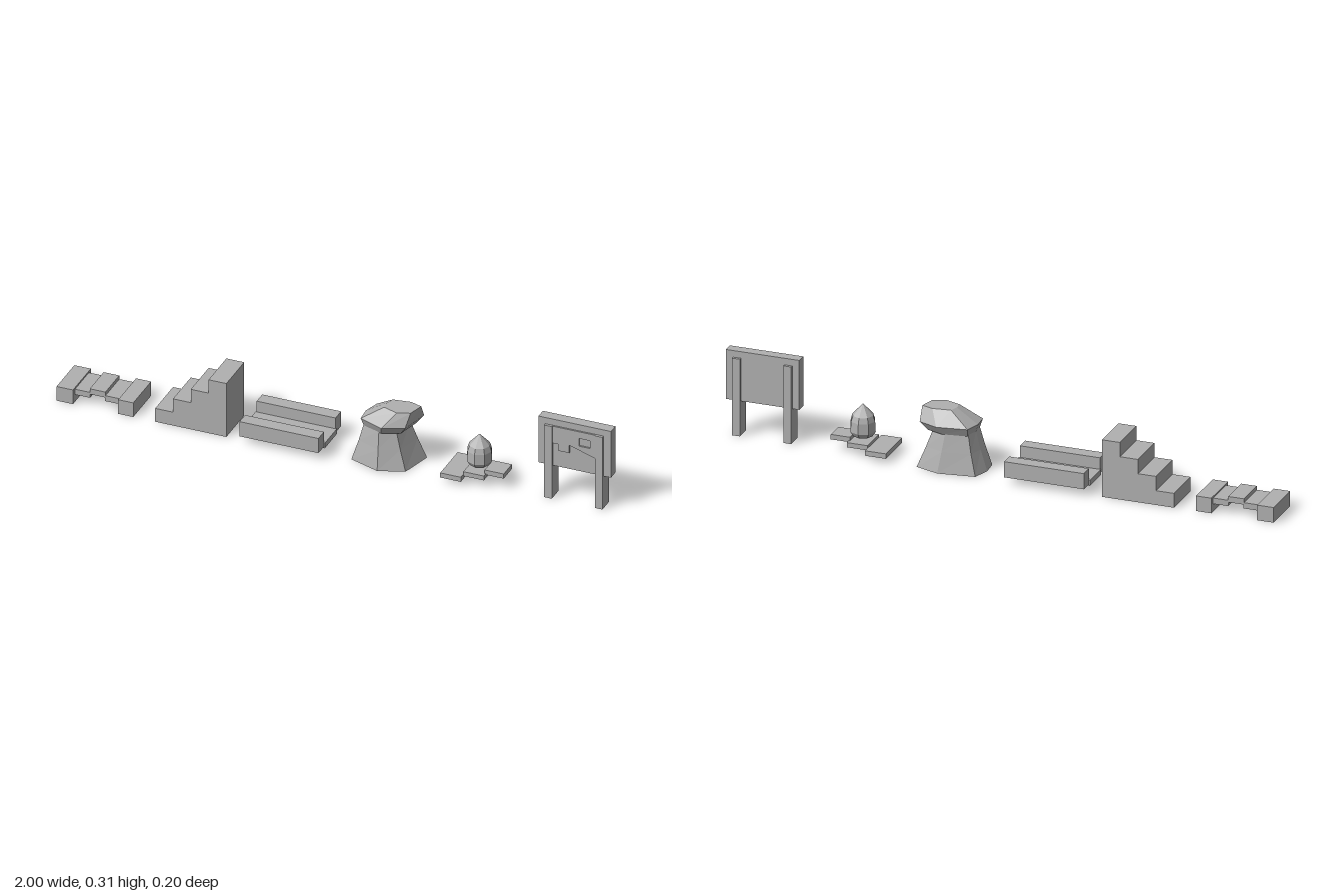
import * as THREE from 'three';

const grey = new THREE.MeshStandardMaterial({ color: 0xb0b0b0, flatShading: true });
grey.name = 'stone grey';

function addMesh(parent, name, geometry) {
  const mesh = new THREE.Mesh(geometry, grey);
  mesh.name = name;
  parent.add(mesh);
  return mesh;
}

// Box given by its limits on each axis
function addBox(parent, name, x0, x1, y0, y1, z0, z1) {
  const mesh = addMesh(parent, name, new THREE.BoxGeometry(x1 - x0, y1 - y0, z1 - z0));
  mesh.position.set((x0 + x1) / 2, (y0 + y1) / 2, (z0 + z1) / 2);
}

function addGroup(parent, name) {
  const group = new THREE.Group();
  group.name = name;
  parent.add(group);
  return group;
}

// Closed solid through rings of [x, y, z] corners, bottom to top
function loft(rings) {
  const n = rings[0].length;
  const positions = [];
  const tri = (a, b, c) => positions.push(...a, ...b, ...c);
  const middle = (ring) => [0, 1, 2].map((k) => ring.reduce((s, p) => s + p[k], 0) / n);
  const last = rings[rings.length - 1];
  for (let i = 0; i < n; i++) {
    const j = (i + 1) % n;
    for (let r = 0; r + 1 < rings.length; r++) {
      const lo = rings[r], hi = rings[r + 1];
      tri(lo[i], hi[i], lo[j]);
      tri(lo[j], hi[i], hi[j]);
    }
    tri(middle(rings[0]), rings[0][i], rings[0][j]);
    tri(middle(last), last[j], last[i]);
  }
  const geometry = new THREE.BufferGeometry();
  geometry.setAttribute('position', new THREE.Float32BufferAttribute(positions, 3));
  geometry.computeVertexNormals();
  return geometry;
}

function addBridge(parent) {
  const bridge = addGroup(parent, 'bridge');
  addBox(bridge, 'leftEndBlock', -1, -0.94, 0, 0.055, -0.077, 0.077);
  addBox(bridge, 'rightEndBlock', -0.775, -0.72, 0, 0.055, -0.077, 0.077);
  [0.028, 0.042, 0.028].forEach((y, i) => {
    const x = -0.942 + i * 0.056;
    addBox(bridge, 'plank', x, x + 0.057, y, y + 0.021, -0.06, 0.06);
  });
}

function addStairs(parent) {
  const shape = new THREE.Shape();
  shape.moveTo(-0.38, 0);
  for (let i = 4; i > 0; i--) {
    shape.lineTo(-0.64 + i * 0.065, i * 0.052);
    shape.lineTo(-0.64 + (i - 1) * 0.065, i * 0.052);
  }
  shape.lineTo(-0.64, 0);
  const geometry = new THREE.ExtrudeGeometry(shape, { depth: 0.154, bevelEnabled: false });
  addMesh(parent, 'stairs', geometry.translate(0, 0, -0.077));
}

function addTrough(parent) {
  const trough = addGroup(parent, 'trough');
  addBox(trough, 'floor', -0.327, -0.031, 0.022, 0.042, -0.052, 0.052);
  for (const z of [-0.074, 0.074]) {
    addBox(trough, 'wall', -0.323, -0.035, 0.027, 0.084, z - 0.024, z + 0.024);
  }
}

function addRock(parent) {
  const rock = addGroup(parent, 'mushroomRock');
  // Seven-sided outline around the rock's middle
  const outline = [
    [0.117, -0.06], [0.087, 0.055], [-0.003, 0.088], [-0.113, 0.05],
    [-0.118, -0.01], [-0.098, -0.07], [0.032, -0.089],
  ];
  const ring = (y, cx, sx, sz) => outline.map(([x, z]) => [cx + x * sx, y, z * sz]);
  addMesh(rock, 'stem', loft([
    ring(0, 0.178, 1, 1), ring(0.075, 0.175, 0.77, 0.84), ring(0.14, 0.172, 0.6, 0.7),
  ]));
  addMesh(rock, 'cap', loft([
    ring(0.135, 0.182, 0.68, 0.74), ring(0.165, 0.19, 0.82, 0.93), ring(0.214, 0.229, 0.49, 0.49),
  ]));
}

function addBud(parent) {
  const bud = addGroup(parent, 'budOnSteps');
  addBox(bud, 'lowStep', 0.4, 0.475, 0.019, 0.037, -0.075, 0.075);
  addBox(bud, 'middleStep', 0.475, 0.55, 0.03, 0.047, -0.053, 0.053);
  addBox(bud, 'highStep', 0.545, 0.615, 0.042, 0.06, -0.035, 0.035);
  const profile = [[0, 0.05], [0.034, 0.06], [0.046, 0.078], [0.044, 0.115], [0.037, 0.135], [0, 0.175]];
  const points = profile.map(([r, y]) => new THREE.Vector2(r, y));
  addMesh(bud, 'bud', new THREE.LatheGeometry(points, 8)).position.x = 0.512;
}

function addSign(parent) {
  const sign = addGroup(parent, 'signBoard');
  addBox(sign, 'board', 0.735, 1, 0.125, 0.305, -0.019, 0.019);
  for (const x of [0.774, 0.959]) {
    addBox(sign, 'post', x - 0.014, x + 0.014, 0, 0.281, -0.029, 0.029);
  }
  // Raised plate with a stepped lower edge and a square opening
  const plate = new THREE.Shape([
    [0.785, 0.215], [0.81, 0.215], [0.81, 0.19], [0.85, 0.19], [0.85, 0.22],
    [0.945, 0.19], [0.945, 0.281], [0.785, 0.281],
  ].map(([x, y]) => new THREE.Vector2(x, y)));
  plate.holes.push(new THREE.Path([
    [0.885, 0.225], [0.885, 0.255], [0.925, 0.255], [0.925, 0.225],
  ].map(([x, y]) => new THREE.Vector2(x, y))));
  const geometry = new THREE.ExtrudeGeometry(plate, { depth: 0.007, bevelEnabled: false });
  addMesh(sign, 'facePlate', geometry.translate(0, 0, 0.018));
}

export function createModel() {
  const model = new THREE.Group();
  model.name = 'sceneryPieces';
  addBridge(model);
  addStairs(model);
  addTrough(model);
  addRock(model);
  addBud(model);
  addSign(model);
  return model;
}
